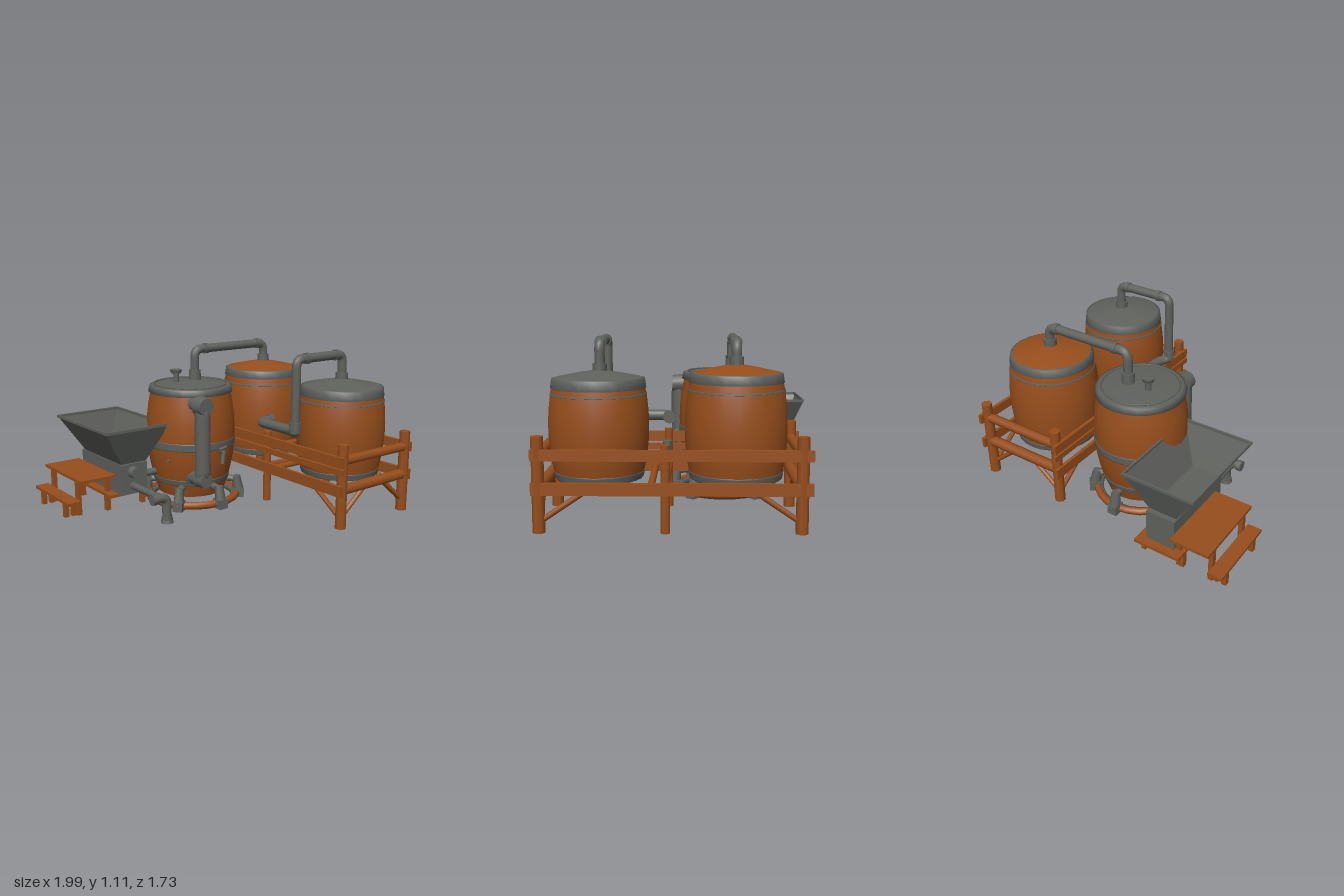
import * as THREE from 'three';

const wood = new THREE.MeshStandardMaterial({ color: 0x974e1c });
wood.name = 'wood';
const iron = new THREE.MeshStandardMaterial({ color: 0x5f615d });
iron.name = 'iron';
const ironSheet = new THREE.MeshStandardMaterial({ color: 0x5f615d, side: THREE.DoubleSide });
ironSheet.name = 'ironSheet';
const V = (x, y, z) => new THREE.Vector3(x, y, z);

export function createModel() {
  const model = new THREE.Group();
  model.name = 'distillery';

  const add = (parent, name, geo, mat, x = 0, y = 0, z = 0) => {
    const m = new THREE.Mesh(geo, mat);
    m.name = name;
    m.position.set(x, y, z);
    parent.add(m);
    return m;
  };
  const group = (name, x = 0, y = 0, z = 0) => {
    const g = new THREE.Group();
    g.name = name;
    g.position.set(x, y, z);
    model.add(g);
    return g;
  };
  // box given by its low and high corners
  const box = (parent, name, mat, [x0, y0, z0], [x1, y1, z1]) =>
    add(parent, name, new THREE.BoxGeometry(x1 - x0, y1 - y0, z1 - z0), mat,
      (x0 + x1) / 2, (y0 + y1) / 2, (z0 + z1) / 2);
  // straight round bar between two points
  const rod = (parent, name, mat, a, b, r0, r1 = r0, sides = 12) => {
    const d = b.clone().sub(a);
    const m = add(parent, name, new THREE.CylinderGeometry(r1, r0, d.length(), sides), mat);
    m.position.copy(a).add(b).multiplyScalar(0.5);
    m.quaternion.setFromUnitVectors(V(0, 1, 0), d.normalize());
    return m;
  };
  // pipe through corner points with rounded bends
  const pipe = (parent, name, pts, r, bend = 0.05) => {
    const path = new THREE.CurvePath();
    let from = pts[0];
    for (let i = 1; i < pts.length - 1; i++) {
      const p = pts[i];
      const a = p.clone().add(pts[i - 1].clone().sub(p).setLength(bend));
      const b = p.clone().add(pts[i + 1].clone().sub(p).setLength(bend));
      path.add(new THREE.LineCurve3(from, a));
      path.add(new THREE.QuadraticBezierCurve3(a, p, b));
      from = b;
    }
    path.add(new THREE.LineCurve3(from, pts[pts.length - 1]));
    add(parent, name, new THREE.TubeGeometry(path, 70, r, 12), iron);
    const n = pts.length;
    for (const [e, q] of [[pts[0], pts[1]], [pts[n - 1], pts[n - 2]]]) {
      const d = q.clone().sub(e).setLength(0.03);
      rod(parent, name + 'Collar', iron, e, e.clone().add(d), r * 1.2);
    }
  };
  const lathe = (parent, name, mat, pts) =>
    add(parent, name, new THREE.LatheGeometry(pts.map(p => new THREE.Vector2(...p)), 24), mat);

  // barrel whose radius runs smoothly through bottom, middle and top
  const barrel = (name, x, z, y0, y1, [rb, rm, rt], bands, lid, lidMat) => {
    const g = group(name, x, 0, z);
    const radius = y => {
      const t = (y - y0) / (y1 - y0);
      return rb * (1 - t) * (1 - 2 * t) + 4 * rm * t * (1 - t) + rt * t * (2 * t - 1);
    };
    const side = (a, b, off) => Array.from({ length: 9 }, (_, i) => {
      const y = a + (b - a) * i / 8;
      return [radius(y) + off, y];
    });
    lathe(g, 'staves', wood, side(y0, y1, 0));
    lathe(g, 'bottom', iron, [[0, y0 + 0.005], [rb, y0 + 0.005]]);
    for (const [a, b] of bands) {
      const s = side(a, b, 0.004);
      lathe(g, 'hoop', iron, [[s[0][0] - 0.004, a], ...s, [s[8][0] - 0.004, b]]);
    }
    const [rim, rimTop, apex] = lid;
    lathe(g, 'lidRim', iron, [[rt - 0.01, y1 - 0.005], [rim, y1 - 0.005], [rim - 0.008, rimTop], [rim - 0.025, rimTop + 0.005]]);
    lathe(g, 'lid', lidMat, [[rim - 0.023, rimTop + 0.004], [0.14, (rimTop + apex) / 2 + 0.003], [0, apex]]);
    return g;
  };
  const TX = 0.655, Z1 = -0.325, Z2 = 0.49;
  barrel('rearTank', TX, Z1, 0.265, 0.845, [0.276, 0.309, 0.28], [[0.787, 0.8], [0.265, 0.308]], [0.287, 0.892, 0.95], wood);
  barrel('frontTank', TX, Z2 + 0.01, 0.265, 0.81, [0.262, 0.302, 0.28], [[0.765, 0.777], [0.265, 0.308]], [0.287, 0.862, 0.915], iron);
  const still = barrel('stillTank', -0.05, -0.285, 0.08, 0.8, [0.235, 0.312, 0.282],
    [[0.42, 0.475], [0.165, 0.205]], [0.298, 0.838, 0.865], iron);
  const lip = add(still, 'lidSeam', new THREE.TorusGeometry(0.255, 0.007, 6, 24), iron, 0, 0.847, 0);
  lip.rotation.x = Math.PI / 2;

  // vent on the still lid
  rod(still, 'ventStem', iron, V(-0.09, 0.85, -0.045), V(-0.09, 0.92, -0.045), 0.02);
  rod(still, 'ventCap', iron, V(-0.09, 0.92, -0.045), V(-0.09, 0.945, -0.045), 0.035, 0.043);

  // base ring and its feet
  const base = group('baseRing', -0.05, 0, -0.27);
  for (const [mat, r, t, y] of [[wood, 0.318, 0.026, 0.047], [iron, 0.3, 0.024, 0.036]])
    add(base, 'ring', new THREE.TorusGeometry(r, t, 8, 24), mat, 0, y, 0).rotation.x = Math.PI / 2;
  for (const deg of [90, 38, -38, -90, -142, 142]) {
    const foot = new THREE.Group();
    foot.name = 'foot';
    foot.rotation.y = deg * Math.PI / 180;
    box(foot, 'clamp', iron, [0.29, 0.015, -0.034], [0.372, 0.08, 0.034]);
    rod(foot, 'strut', iron, V(0.335, 0.05, 0), V(0.315, 0.17, 0), 0.04, 0.03, 8);
    rod(foot, 'strutPad', iron, V(0.32, 0.145, 0), V(0.24, 0.155, 0), 0.024);
    base.add(foot);
  }

  // level tube on the front of the still
  const gauge = group('levelTube', -0.18, 0, 0);
  pipe(gauge, 'tube', [V(0, 0.75, -0.1), V(0, 0.75, 0.035), V(0, 0.235, 0.035), V(0, 0.235, -0.1)], 0.054, 0.07);
  rod(gauge, 'topCap', iron, V(0, 0.745, 0), V(0, 0.745, 0.082), 0.068, 0.06, 16);
  rod(gauge, 'lowerCap', iron, V(0, 0.235, 0), V(0, 0.235, 0.08), 0.058, 0.05, 16);

  // tap and small stubs on the still
  const tap = group('tap', -0.02, 0, 0);
  rod(tap, 'tapBody', iron, V(0, 0.41, -0.02), V(0, 0.41, 0.07), 0.016);
  rod(tap, 'tapSpout', iron, V(0, 0.42, 0.06), V(-0.015, 0.33, 0.065), 0.015);
  rod(tap, 'tapHandle', iron, V(-0.03, 0.43, 0.05), V(0.03, 0.44, 0.05), 0.01);
  rod(still, 'upperStub', iron, V(-0.2, 0.63, 0.1), V(-0.275, 0.63, 0.13), 0.012);
  rod(still, 'lowerStub', iron, V(-0.2, 0.35, 0.1), V(-0.29, 0.35, 0.13), 0.012);

  // overhead pipes
  const pipes = group('pipework');
  const top = 1.075;
  pipe(pipes, 'stillPipe', [V(0.018, 0.85, Z1), V(0.018, top, Z1), V(0.66, top, Z1), V(0.66, 0.92, Z1)], 0.031, 0.06);
  pipe(pipes, 'transferPipe', [V(0.66, 0.89, Z2), V(0.66, top, Z2), V(0.237, top, Z2), V(0.237, 0.59, Z2)], 0.031, 0.05);
  pipe(pipes, 'lowerPipe', [V(0.237, 0.66, Z2), V(0.237, 0.585, Z2), V(0.282, 0.585, 0.42), V(0.282, 0.585, 0.09),
    V(0.39, 0.585, 0.085)], 0.034, 0.04);
  for (const [x, y, z] of [[0.018, 0.86, Z1], [0.66, 0.92, Z1], [0.66, 0.88, Z2]])
    rod(pipes, 'sleeve', iron, V(x, y, z), V(x, y + 0.07, z), 0.044, 0.042, 16);
  for (const [x, z] of [[0.1, Z1], [0.58, Z1], [0.31, Z2], [0.58, Z2]])
    rod(pipes, 'joint', iron, V(x, top, z), V(x + 0.03, top, z), 0.037);
  rod(pipes, 'floorValve', iron, V(0.86, 0.43, 0.08), V(0.86, 0.52, 0.08), 0.026);

  // timber frame around the two raised tanks
  const frame = group('tankFrame');
  const railY = [[0.222, 0.295], [0.42, 0.485]];
  for (const [px, rx, out] of [[0.352, 0.313, -1], [0.957, 0.977, 1]]) {
    for (const [pz, h, w] of [[-0.69, 0.56, 0.035], [0.09, 0.51, 0.027], [0.815, 0.56, 0.035]]) {
      const post = rod(frame, 'post', wood, V(px, 0, pz), V(px, h, pz), w * 1.08, w * 1.04, 8);
      post.rotateY(Math.PI / 8);
    }
    for (const [a, b] of railY)
      box(frame, 'sideRail', wood, [rx - 0.012, a, -0.75], [rx + 0.012, b, 0.855]);
    for (const [pz, dir] of [[-0.69, 1], [0.815, -1]]) {
      rod(frame, 'sideBrace', wood, V(px, 0.06, pz), V(px, 0.25, pz + dir * 0.28), 0.017, 0.017, 6);
      rod(frame, 'crossBrace', wood, V(px, 0.07, pz), V(px - out * 0.22, 0.25, pz), 0.017, 0.017, 6);
    }
  }
  box(frame, 'innerRail', wood, [0.301, 0.365, -0.755], [0.325, 0.405, 0.86]);
  for (const [a, b] of railY)
    for (const z of [-0.69, 0.815])
      rod(frame, 'endRail', wood, V(0.31, (a + b) / 2, z), V(0.985, (a + b) / 2, z), (b - a) / 2, (b - a) / 2, 8);
  for (const [y, z] of [[0.26, 0.09], [0.39, 0.09], [0.26, 0.175]])
    rod(frame, 'middleRail', wood, V(0.31, y, z), V(0.98, y, z), 0.022, 0.022, 8);

  // open hopper: a four-sided tube mapped to its two rectangles
  const hopper = group('hopper');
  let funnel = new THREE.CylinderGeometry(1, 1, 1, 4, 1, true, Math.PI / 4);
  const p = funnel.attributes.position;
  for (let i = 0; i < p.count; i++) {
    const up = p.getY(i) > 0, r = p.getX(i) > 0, f = p.getZ(i) > 0;
    if (up) p.setXYZ(i, r ? -0.31 : -0.803, 0.612, f ? -0.16 : -0.868);
    else p.setXYZ(i, r ? -0.445 : -0.637, 0.35, f ? -0.27 : -0.775);
  }
  funnel = funnel.toNonIndexed();
  funnel.computeVertexNormals();
  add(hopper, 'funnel', funnel, ironSheet);
  for (const x of [-0.803, -0.322])
    box(hopper, 'rim', iron, [x, 0.597, -0.868], [x + 0.012, 0.615, -0.16]);
  for (const z of [-0.868, -0.172])
    box(hopper, 'rim', iron, [-0.803, 0.597, z], [-0.31, 0.615, z + 0.012]);
  box(hopper, 'millBox', iron, [-0.645, 0.14, -0.81], [-0.445, 0.352, -0.25]);
  rod(hopper, 'millHub', iron, V(-0.56, 0.295, -0.26), V(-0.56, 0.295, -0.2), 0.042, 0.036, 16);
  rod(hopper, 'feedPipe', iron, V(-0.46, 0.24, -0.33), V(-0.28, 0.24, -0.33), 0.025);

  // outlet spout
  pipe(hopper, 'outlet', [V(-0.555, 0.195, -0.26), V(-0.555, 0.195, 0.08)], 0.024);
  pipe(hopper, 'spout', [V(-0.625, 0.195, 0.085), V(-0.51, 0.195, 0.085), V(-0.51, 0.03, 0.085)], 0.031, 0.05);
  rod(hopper, 'spoutMouth', iron, V(-0.51, 0.02, 0.085), V(-0.51, 0.06, 0.085), 0.043, 0.033);

  // low benches beside and below the mill
  const bench = (name, x0, x1, z0, z1, y) => {
    const g = group(name);
    box(g, 'top', wood, [x0, y - 0.02, z0], [x1, y, z1]);
    for (const x of [x0 + 0.005, x1 - 0.035])
      for (const z of [z0 + 0.07, z1 - 0.1])
        box(g, 'leg', wood, [x, 0.015, z], [x + 0.03, y - 0.01, z + 0.035]);
  };
  bench('lowBench', -1, -0.905, -0.855, -0.345, 0.13);
  bench('highBench', -0.912, -0.65, -0.865, -0.33, 0.27);
  bench('millBench', -0.71, -0.39, -0.865, -0.3, 0.14);

  return model;
}
